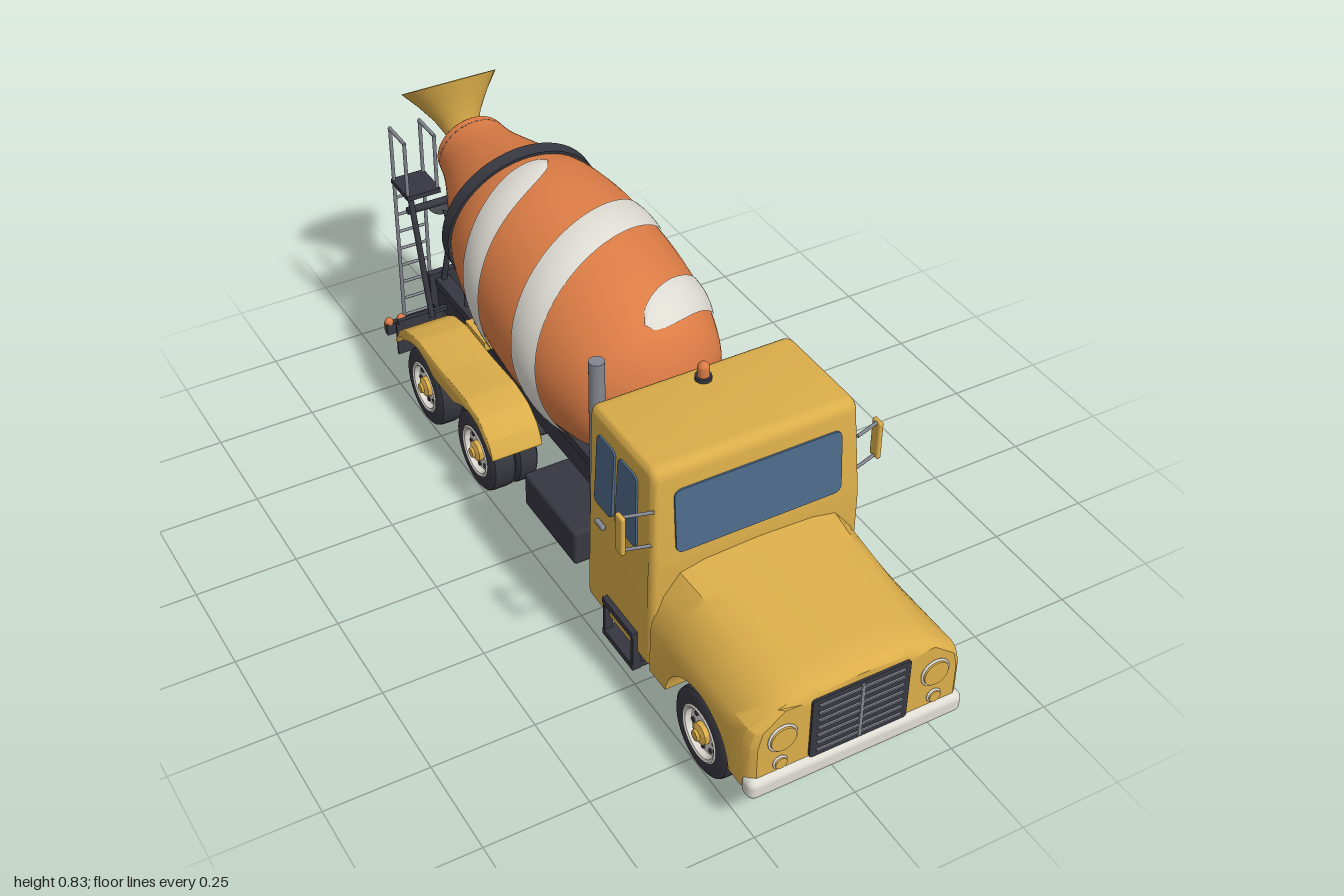
import * as THREE from 'three';
import { toCreasedNormals } from 'three/addons/utils/BufferGeometryUtils.js';
import { RoundedBoxGeometry } from 'three/addons/geometries/RoundedBoxGeometry.js';

const mat = (name, color) => Object.assign(new THREE.MeshStandardMaterial({ color }), { name });
const V = (x, y, z) => new THREE.Vector3(x, y, z);
const V2 = (x, y) => new THREE.Vector2(x, y);
const SIDES = [-1, 1];

// Polygon with rounded corners
function roundShape(pts, r) {
  const p = pts.map(([x, y]) => V2(x, y)), s = new THREE.Shape();
  p.forEach((c, i) => {
    const a = p[(i + p.length - 1) % p.length], b = p[(i + 1) % p.length];
    const near = (q) => c.clone().add(q.clone().sub(c).setLength(Math.min(r, q.distanceTo(c) / 2)));
    const st = near(a), en = near(b);
    i ? s.lineTo(st.x, st.y) : s.moveTo(st.x, st.y);
    s.quadraticCurveTo(c.x, c.y, en.x, en.y);
  });
  s.closePath();
  return s;
}
const rect = (x0, x1, y0, y1) => [[x0, y0], [x1, y0], [x1, y1], [x0, y1]];

// Extrusion centred on its depth, optionally with rounded edges
function slab(shape, depth, bevel = 0) {
  const g = new THREE.ExtrudeGeometry(shape, { depth: depth - 2 * bevel, bevelEnabled: bevel > 0,
    bevelSize: bevel, bevelOffset: -bevel, bevelThickness: bevel, bevelSegments: 4, curveSegments: 6 });
  return toCreasedNormals(g.translate(0, 0, bevel - depth / 2), 0.6);
}
// A (z, y) shape extruded along x
const sideSlab = (shape, depth, bevel) => slab(shape, depth, bevel).rotateY(-Math.PI / 2);

// Skin over closed rings of equal length, ordered back to front
function loft(rings) {
  const n = rings[0].length, pos = rings.flat(), idx = [];
  for (let i = 0; i < rings.length - 1; i++) for (let j = 0; j < n; j++) {
    const a = i * n + j, b = i * n + (j + 1) % n;
    idx.push(a, b, a + n, b, b + n, a + n);
  }
  for (const [row, flip] of [[0, true], [rings.length - 1, false]]) {
    const c = pos.length;
    pos.push(rings[row].reduce((s, v) => s.add(v), V(0, 0, 0)).divideScalar(n));
    for (let j = 0; j < n; j++) {
      const a = row * n + j, b = row * n + (j + 1) % n;
      flip ? idx.push(c, b, a) : idx.push(c, a, b);
    }
  }
  const g = new THREE.BufferGeometry().setFromPoints(pos);
  g.setIndex(idx);
  return toCreasedNormals(g, 0.6);
}

export function createModel() {
  const yellow = mat('yellow paint', 0xdcae4a), orange = mat('orange paint', 0xdb7c45);
  const white = mat('off white', 0xdedbd3), dark = mat('dark rubber and frame', 0x373741);
  const glass = mat('blue glass', 0x4d6988), steel = mat('grey steel', 0x83868f);
  for (const m of [yellow, steel]) m.side = THREE.DoubleSide;
  const root = new THREE.Group();
  const add = (name, geo, m, x = 0, y = 0, z = 0, parent = root) => {
    const o = new THREE.Mesh(geo, m);
    o.name = name; o.position.set(x, y, z); parent.add(o);
    return o;
  };
  const box = (name, m, x0, x1, y0, y1, z0, z1) => add(name, new THREE.BoxGeometry(x1 - x0, y1 - y0, z1 - z0), m,
    (x0 + x1) / 2, (y0 + y1) / 2, (z0 + z1) / 2);
  const bar = (name, m, a, b, r, sides = 8) => {
    const d = b.clone().sub(a), mid = a.clone().add(b).multiplyScalar(0.5);
    const o = add(name, new THREE.CylinderGeometry(r, r, d.length(), sides), m, mid.x, mid.y, mid.z);
    o.quaternion.setFromUnitVectors(V(0, 1, 0), d.normalize());
    return o;
  };

  // Cab, narrowing slightly above the belt line
  const cabGeo = sideSlab(roundShape([[0.297, 0.12], [0.592, 0.12], [0.592, 0.42], [0.572, 0.663], [0.297, 0.663]], 0.03), 0.522, 0.02);
  const cp = cabGeo.attributes.position;
  for (let i = 0; i < cp.count; i++) cp.setX(i, cp.getX(i) * (1 - 0.18 * Math.max(0, cp.getY(i) - 0.41)));
  add('cab', cabGeo, yellow);
  add('windshield', slab(roundShape(rect(-0.205, 0.205, -0.08, 0.08), 0.02), 0.009), glass, 0, 0.525, 0.5835).rotation.x = -0.082;
  add('rearWindow', slab(roundShape(rect(-0.17, 0.17, -0.07, 0.07), 0.02), 0.008), glass, 0, 0.53, 0.296);
  for (const s of SIDES) {
    const windows = [[[0.435, -0.09], [0.525, -0.09], [0.512, 0.09], [0.435, 0.09]], rect(0.345, 0.42, -0.09, 0.09)];
    windows.forEach((p, i) => {
      add(i ? 'rearDoorWindow' : 'frontDoorWindow', sideSlab(roundShape(p, 0.015), 0.008), glass, s * 0.2565, 0.522, 0).rotation.z = s * 0.047;
    });
    add('doorHandle', new RoundedBoxGeometry(0.012, 0.012, 0.035, 2, 0.004), steel, s * 0.264, 0.38, 0.37);
    // Mirrors
    for (const y of [0.475, 0.565]) bar('mirrorArm', steel, V(s * 0.25, y, 0.575), V(s * 0.318, y, 0.555), 0.004);
    add('mirror', new RoundedBoxGeometry(0.012, 0.1, 0.03, 2, 0.005), yellow, s * 0.317, 0.52, 0.555);
    // Entry steps
    for (const z of [0.4, 0.525]) box('stepPost', dark, s * 0.262 - 0.01, s * 0.262 + 0.01, 0.08, 0.19, z - 0.005, z + 0.005);
    for (const y of [0.09, 0.183]) box('stepTread', dark, s * 0.252 - 0.022, s * 0.252 + 0.022, y - 0.008, y + 0.008, 0.395, 0.53);
  }
  add('beaconBase', new THREE.CylinderGeometry(0.019, 0.019, 0.012, 20), dark, 0, 0.667, 0.35);
  add('beacon', new THREE.CapsuleGeometry(0.014, 0.018, 6, 20), orange, 0, 0.685, 0.35);

  // Hood with flared fenders and wheel arches
  const hoodRing = (z, inset = 0) => {
    const t = (z - 0.585) / 0.4, top = 0.405 - 0.045 * t - inset;
    const yb = Math.max(0.125, 0.107 + Math.sqrt(Math.max(0, 0.0169 - (z - 0.78) ** 2)));
    const half = [[0.262, yb], [0.262, 0.245], [0.252, 0.285], [0.235 - 0.035 * t, 0.335 - 0.008 * t],
      [0.195 - 0.035 * t, top - 0.018], [0.135 - 0.02 * t, top - 0.005]].map(([x, y]) => [x - inset, y]);
    return [...half, [0, top], ...half.map(([x, y]) => [-x, y]).reverse()].map(([x, y]) => V(x, y, z));
  };
  const arch = Array.from({ length: 17 }, (_, i) => 0.78 - 0.1287 * Math.cos(Math.PI * i / 16));
  add('hood', loft([hoodRing(0.585), ...arch.map((z) => hoodRing(z)), hoodRing(0.955), hoodRing(0.976, 0.006), hoodRing(0.986, 0.018)]), yellow);
  box('engineBay', dark, -0.14, 0.14, 0.1, 0.22, 0.6, 0.93);
  add('grille', slab(roundShape(rect(-0.12, 0.12, 0.162, 0.325), 0.008), 0.012), dark, 0, 0, 0.986);
  for (let i = 0; i < 7; i++) box('grilleBar', steel, -0.105, 0.105, 0.177 + i * 0.0215, 0.182 + i * 0.0215, 0.988, 0.996);
  box('grillePost', steel, -0.004, 0.004, 0.17, 0.318, 0.988, 0.997);
  for (const s of SIDES) for (const [x, y, r] of [[0.187, 0.255, 0.033], [0.19, 0.186, 0.015]]) {
    add('lampLens', new THREE.CylinderGeometry(r * 0.92, r, 0.014, 28).rotateX(Math.PI / 2), yellow, s * x, y, 0.988);
    add('lampRing', new THREE.TorusGeometry(r, 0.003, 6, 28), white, s * x, y, 0.989);
  }
  add('frontBumper', new RoundedBoxGeometry(0.53, 0.054, 0.045, 4, 0.018), white, 0, 0.136, 0.977);

  // Wheels
  const wheel = (side, x, z, w, name) => {
    const g = new THREE.Group(), h = w / 2;
    g.name = name; g.position.set(side * x, 0.105, z);
    g.rotation.y = side < 0 ? Math.PI : 0;
    root.add(g);
    const turn = (pts) => toCreasedNormals(new THREE.LatheGeometry(pts.map(([r, y]) => V2(r, y)), 36).rotateZ(-Math.PI / 2), 0.6);
    add('tyre', turn([[0, -h], [0.094, -h], [0.103, -h + 0.006], [0.105, -h + 0.014], [0.105, h - 0.014], [0.103, h - 0.006], [0.094, h], [0.067, h]]), dark, 0, 0, 0, g);
    add('rim', turn([[0.068, h], [0.064, h + 0.003], [0.058, h], [0.054, h - 0.014], [0.03, h - 0.012], [0, h - 0.008]]), white, 0, 0, 0, g);
    add('hub', turn([[0.026, h - 0.014], [0.026, h], [0.014, h + 0.006], [0.012, h + 0.012], [0, h + 0.013]]), yellow, 0, 0, 0, g);
    for (let i = 0; i < 8; i++) {
      const a = i * Math.PI / 4;
      add('rimHole', new THREE.CylinderGeometry(0.006, 0.006, 0.006, 8).rotateZ(Math.PI / 2), dark, h - 0.012, 0.042 * Math.cos(a), 0.042 * Math.sin(a), g);
    }
  };
  for (const s of SIDES) {
    wheel(s, 0.222, 0.78, 0.064, 'frontWheel');
    for (const z of [-0.287, -0.58]) {
      wheel(s, 0.222, z, 0.064, 'rearOuterWheel');
      wheel(s, 0.158, z, 0.056, 'rearInnerWheel');
    }
  }
  for (const z of [0.78, -0.287, -0.58]) {
    bar('axle', dark, V(-0.2, 0.105, z), V(0.2, 0.105, z), 0.018, 12);
    if (z < 0) add('differential', new THREE.SphereGeometry(0.042, 20, 14), dark, 0, 0.11, z);
  }
  bar('driveShaft', dark, V(0, 0.14, 0.6), V(0, 0.11, -0.58), 0.012);

  // Frame
  for (const s of SIDES) {
    box('frameRail', dark, s * 0.085 - 0.016, s * 0.085 + 0.016, 0.165, 0.222, -0.82, 0.6);
    box('subframeRail', dark, s * 0.085 - 0.02, s * 0.085 + 0.02, 0.226, 0.25, -0.82, 0.3);
    box('leafSpring', dark, s * 0.1 - 0.015, s * 0.1 + 0.015, 0.12, 0.15, -0.58, -0.287);
    box('springHanger', dark, s * 0.1 - 0.015, s * 0.1 + 0.015, 0.13, 0.2, -0.47, -0.4);
    box('mudFlap', dark, s * 0.19 - 0.055, s * 0.19 + 0.055, 0.09, 0.19, -0.762, -0.756);
    box('rearBarPost', dark, s * 0.1 - 0.012, s * 0.1 + 0.012, 0.12, 0.22, -0.83, -0.81);
  }
  for (const z of [0.2, -0.05, -0.43, -0.7]) box('crossMember', dark, -0.085, 0.085, 0.18, 0.235, z - 0.02, z + 0.02);
  box('flapBar', dark, -0.24, 0.24, 0.185, 0.195, -0.765, -0.753);
  box('rearPanel', dark, -0.12, 0.12, 0.17, 0.265, -0.83, -0.81);

  // Striped rear bar
  box('rearBar', dark, -0.245, 0.245, 0.108, 0.142, -0.838, -0.822);
  for (let i = 0; i < 14; i++) box('rearBarStripe', i % 2 ? white : orange, -0.245 + i * 0.035, -0.21 + i * 0.035, 0.113, 0.137, -0.843, -0.837);
  for (const x of [-0.235, -0.2, 0.2, 0.235]) add('rearLamp', new THREE.SphereGeometry(0.012, 12, 8), orange, x, 0.143, -0.832);

  // Rear fenders, scalloped over the wheels
  const fender = [[-0.16, 0.165], [-0.185, 0.215], [-0.23, 0.248], [-0.3, 0.262], [-0.43, 0.258], [-0.57, 0.262], [-0.64, 0.248], [-0.69, 0.218], [-0.722, 0.165], [-0.708, 0.165]];
  for (const c of [-0.58, -0.287]) for (let i = 1; i < 8; i++) {
    const a = Math.PI * (1 - i / 8);
    fender.push([c + 0.122 * Math.cos(a), Math.max(0.2, 0.105 + 0.126 * Math.sin(a))]);
  }
  fender.push([-0.172, 0.165]);
  for (const s of SIDES) add('rearFender', sideSlab(roundShape(fender, 0.012), 0.135, 0.003), yellow, s * 0.198);

  // Fuel tank, tool box, air cleaner and exhaust
  add('fuelTank', new THREE.CapsuleGeometry(0.056, 0.19, 8, 28).rotateX(Math.PI / 2).scale(1, 1, 0.86), white, 0.175, 0.158, 0.085);
  for (const z of [0.155, 0.015]) add('tankStrap', new THREE.CylinderGeometry(0.058, 0.058, 0.01, 28).rotateX(Math.PI / 2), dark, 0.175, 0.158, z);
  add('toolBox', new RoundedBoxGeometry(0.12, 0.095, 0.25, 2, 0.008), dark, -0.178, 0.157, 0.075);
  add('airCleaner', new THREE.CapsuleGeometry(0.036, 0.155, 6, 24), dark, 0.21, 0.395, 0.25);
  bar('airCleanerBracket', dark, V(0.21, 0.4, 0.25), V(0.21, 0.4, 0.3), 0.012);
  bar('exhaustStack', steel, V(-0.21, 0.28, 0.262), V(-0.21, 0.73, 0.262), 0.018, 20);

  // Mixing drum, built along its own tilted axis
  const drum = new THREE.Group();
  drum.name = 'mixingDrum'; drum.position.set(0, 0.59, -0.5);
  drum.rotation.x = -80 * Math.PI / 180;
  root.add(drum);
  const profile = new THREE.SplineCurve([[0, -0.72], [0.06, -0.715], [0.11, -0.698], [0.158, -0.667], [0.19, -0.63], [0.216, -0.56], [0.232, -0.48], [0.241, -0.35],
    [0.235, -0.2], [0.217, -0.08], [0.192, 0], [0.15, 0.1], [0.107, 0.21], [0.092, 0.28]].map(([r, t]) => V2(r, t))).getPoints(60);
  const radiusAt = (t) => {
    const i = Math.max(1, profile.findIndex((p) => p.y >= t)), a = profile[i - 1], b = profile[i];
    return a.x + (b.x - a.x) * (t - a.y) / (b.y - a.y);
  };
  add('drumShell', new THREE.LatheGeometry(profile, 56), orange, 0, 0, 0, drum);
  add('drumRing', toCreasedNormals(new THREE.LatheGeometry([V2(0.185, -0.017), V2(0.206, -0.017), V2(0.206, 0.017), V2(0.17, 0.017)], 56), 0.5), dark, 0, 0, 0, drum);
  add('drumMouth', new THREE.CylinderGeometry(0.088, 0.096, 0.025, 32), dark, 0, 0.272, 0, drum);
  add('driveMotor', new THREE.CylinderGeometry(0.06, 0.05, 0.07, 24), dark, 0, -0.735, 0, drum);
  // Two raised spiral stripes with rounded ends
  const N = 90, M = 6;
  for (const phi0 of [0, Math.PI]) {
    const pts = [], idx = [];
    for (let i = 0; i <= N; i++) {
      const k = Math.min(1, Math.min(i, N - i) / 9), half = 0.05 * Math.sqrt(1 - (1 - k) ** 2);
      const phi = phi0 - 0.12 + (Math.PI * 2 + 0.24) * i / N, mid = -0.615 + 0.555 * i / N;
      for (let j = 0; j <= M; j++) {
        const v = j / M * 2 - 1, t = mid + v * half, r = radiusAt(t) + 0.007 - 0.004 * v * v;
        pts.push(V(r * Math.sin(phi), t, r * Math.cos(phi)));
        if (i < N && j < M) {
          const a = i * (M + 1) + j, b = a + M + 1;
          idx.push(a, b, a + 1, b, b + 1, a + 1);
        }
      }
    }
    const g = new THREE.BufferGeometry().setFromPoints(pts);
    g.setIndex(idx); g.computeVertexNormals();
    add('spiralStripe', g, white, 0, 0, 0, drum);
  }

  // Drum supports
  for (const s of SIDES) {
    bar('frontSupportLeg', yellow, V(s * 0.09, 0.25, 0.2), V(s * 0.05, 0.44, 0.245), 0.014);
    bar('frontSupportBrace', yellow, V(s * 0.09, 0.25, 0.26), V(s * 0.05, 0.44, 0.245), 0.012);
    for (const z of [-0.49, -0.56]) bar('rearSupportLeg', yellow, V(s * 0.1, 0.25, z), V(s * 0.125, 0.41, -0.525), 0.013);
    bar('drumRoller', dark, V(s * 0.128, 0.415, -0.5), V(s * 0.128, 0.425, -0.56), 0.022, 16);
  }
  box('frontSupportBeam', yellow, -0.1, 0.1, 0.245, 0.27, 0.19, 0.27);
  box('rearSupportBeam', yellow, -0.13, 0.13, 0.245, 0.27, -0.58, -0.47);

  // Loading hopper and discharge chute
  const hopper = [[0.035, -0.015], [0.042, 0.02], [0.06, 0.06], [0.09, 0.105], [0.122, 0.145]].map(([r, y]) => V2(r, y));
  add('hopper', new THREE.LatheGeometry(hopper, 40), yellow, 0, 0.64, -0.815).rotation.x = -0.55;
  const chute = add('chute', new THREE.CylinderGeometry(0.042, 0.042, 0.265, 16, 1, true, Math.PI / 2, Math.PI), steel, 0, 0.437, -0.888);
  chute.rotation.x = -Math.PI / 2 - 0.63;
  for (const s of SIDES) {
    bar('chuteStrut', dark, V(s * 0.085, 0.25, -0.66), V(s * 0.06, 0.52, -0.735), 0.008);
    bar('chutePost', dark, V(s * 0.085, 0.25, -0.8), V(s * 0.05, 0.5, -0.775), 0.008);
    bar('chuteBrace', dark, V(s * 0.03, 0.25, -0.81), V(s * 0.02, 0.38, -0.92), 0.006);
  }
  bar('chuteBeam', dark, V(-0.19, 0.515, -0.76), V(0.06, 0.515, -0.76), 0.01);

  // Service platform, ladder and hand rails
  box('platform', dark, -0.195, -0.105, 0.555, 0.568, -0.84, -0.74);
  bar('platformStrut', dark, V(-0.185, 0.25, -0.66), V(-0.185, 0.555, -0.745), 0.008);
  for (const x of [-0.19, -0.11]) {
    bar('ladderRail', steel, V(x, 0.11, -0.833), V(x, 0.56, -0.833), 0.005);
    for (const z of [-0.833, -0.75]) bar('handRailPost', steel, V(x, 0.56, z), V(x, 0.715, z), 0.005);
    bar('handRail', steel, V(x, 0.715, -0.836), V(x, 0.715, -0.747), 0.005);
  }
  for (let i = 0; i < 8; i++) bar('ladderRung', steel, V(-0.19, 0.15 + i * 0.052, -0.833), V(-0.11, 0.15 + i * 0.052, -0.833), 0.004);
  return root;
}
